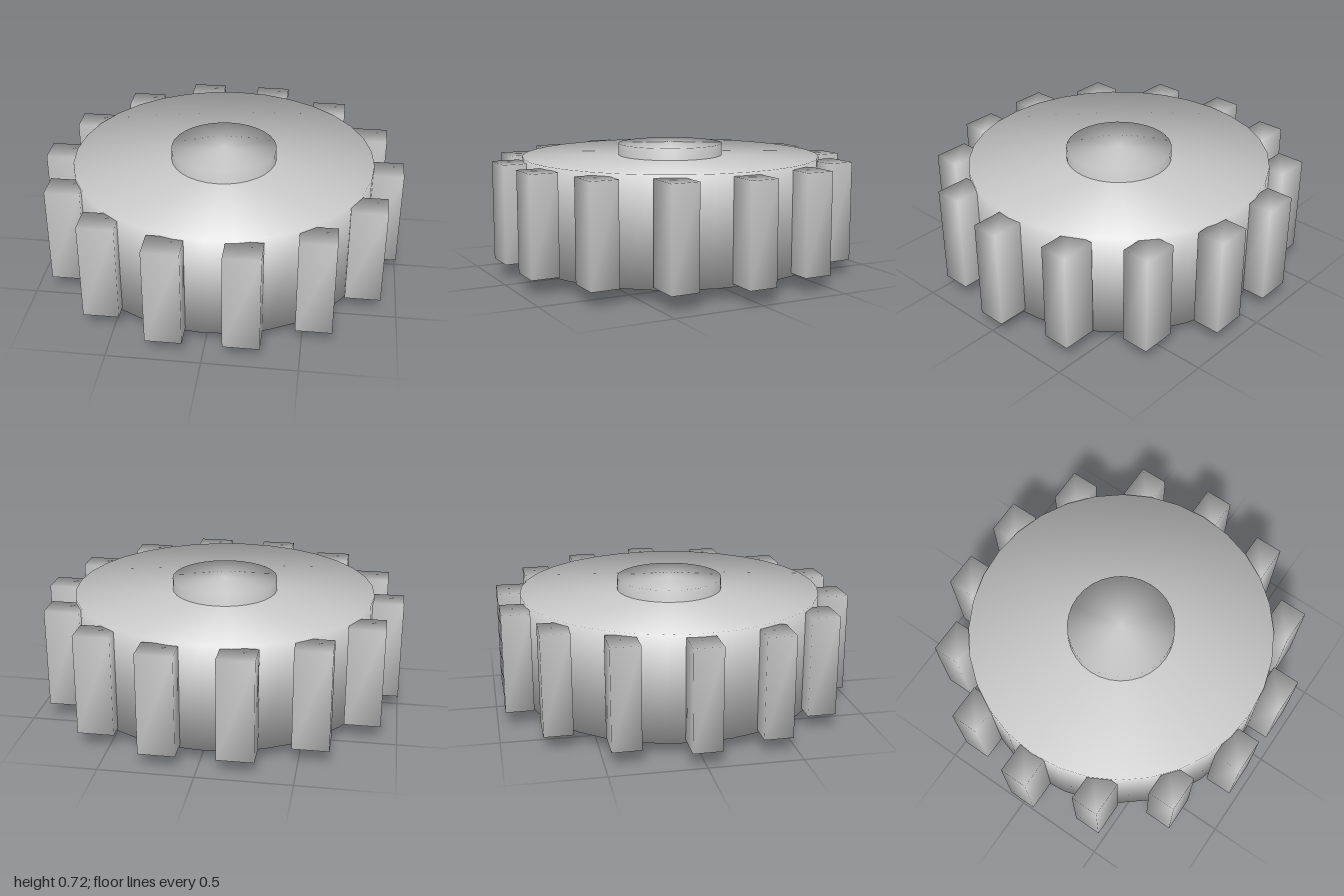
import * as THREE from 'three';
import { mergeVertices } from 'three/addons/utils/BufferGeometryUtils.js';

const material = new THREE.MeshStandardMaterial({ color: 0xcccccc });

// Weld the corners so normals run smoothly over every edge
function smooth(geometry) {
  geometry.deleteAttribute('normal');
  geometry.deleteAttribute('uv');
  const welded = mergeVertices(geometry, 1e-4);
  welded.computeVertexNormals();
  return welded;
}

function addPart(group, name, geometry, x, y, z) {
  const mesh = new THREE.Mesh(geometry, material);
  mesh.name = name;
  mesh.position.set(x, y, z);
  group.add(mesh);
}

export function createModel() {
  const model = new THREE.Group();
  model.name = 'gear';
  const midY = 0.358;

  // Wheel body and the hub that passes through it
  addPart(model, 'wheel', smooth(new THREE.CylinderGeometry(0.838, 0.838, 0.584, 32)), 0, midY, 0);
  addPart(model, 'hub', smooth(new THREE.CylinderGeometry(0.294, 0.294, 0.716, 32)), 0, midY, 0);

  // Ring of teeth, all square to the axes
  const teeth = new THREE.Group();
  teeth.name = 'teeth';
  model.add(teeth);
  const toothGeometry = smooth(new THREE.BoxGeometry(0.194, 0.55, 0.155));
  const count = 14, radius = 0.903;
  for (let i = 0; i < count; i++) {
    const a = (i / count) * Math.PI * 2;
    addPart(teeth, 'tooth' + (i + 1), toothGeometry, radius * Math.cos(a), midY, radius * Math.sin(a));
  }
  return model;
}
